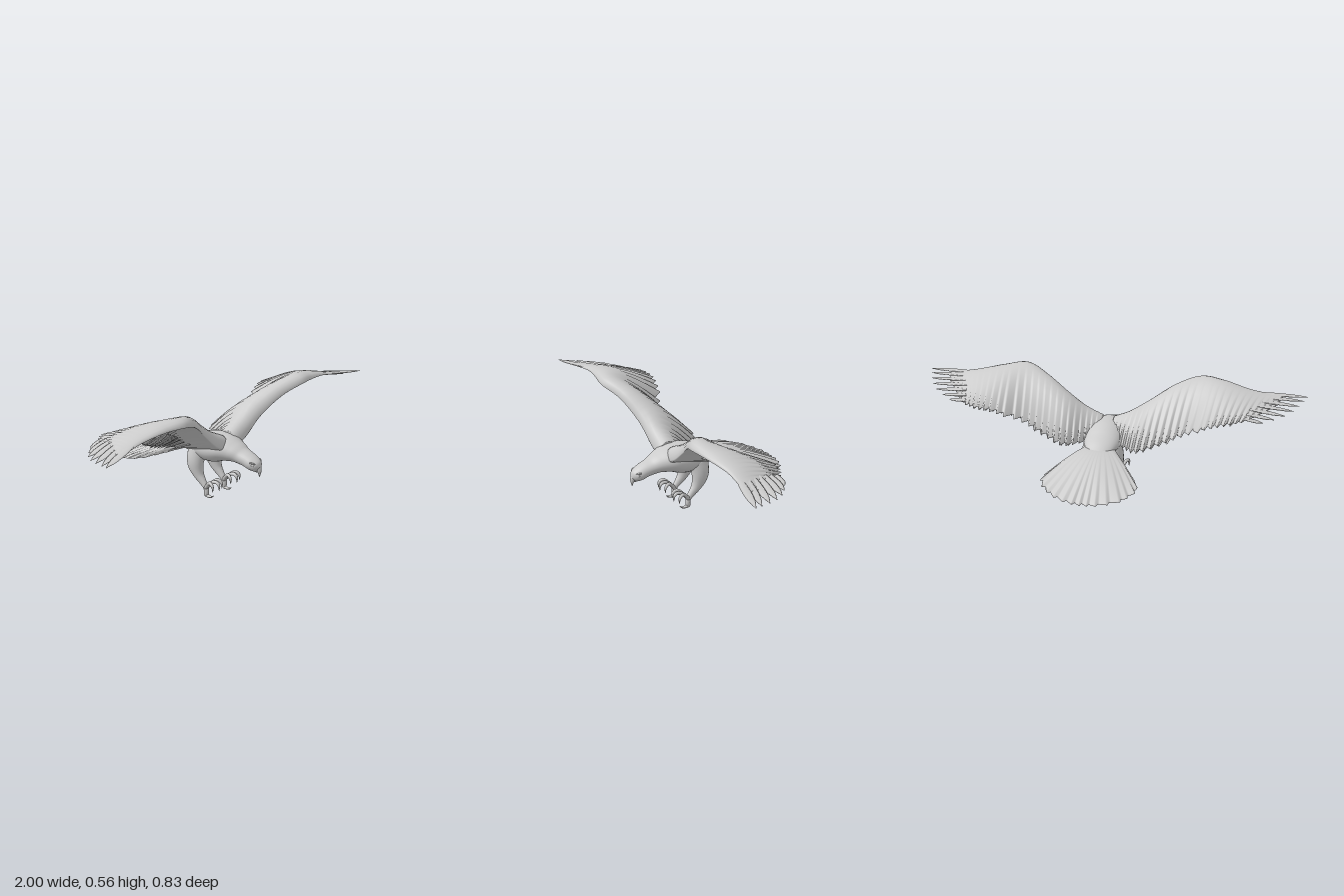
import * as THREE from 'three';

const material = new THREE.MeshStandardMaterial({ color: 0xcccccc, side: THREE.DoubleSide });
const V = (x, y, z) => new THREE.Vector3(x, y, z);
const curve = (pts) => new THREE.CatmullRomCurve3(pts.map((p) => V(...p)), false, 'catmullrom', 0.5);

// Closed skin over a row of rings, both ends capped, always facing outwards
function loft(name, rings) {
  const n = rings[0].length, last = rings.length - 1;
  const pts = rings.flat(), idx = [];
  for (let i = 0; i < last; i++) {
    for (let j = 0; j < n; j++) {
      const a = i * n + j, b = i * n + (j + 1) % n;
      idx.push(a, b, a + n, b, b + n, a + n);
    }
  }
  for (const end of [0, last]) {
    const c = pts.length;
    pts.push(rings[end].reduce((s, p) => s.add(p), V(0, 0, 0)).divideScalar(n));
    for (let j = 0; j < n; j++) {
      const a = end * n + j, b = end * n + (j + 1) % n;
      end === 0 ? idx.push(c, b, a) : idx.push(c, a, b);
    }
  }
  let volume = 0;
  for (let i = 0; i < idx.length; i += 3) {
    volume += pts[idx[i]].dot(pts[idx[i + 1]].clone().cross(pts[idx[i + 2]]));
  }
  if (volume < 0) idx.reverse();
  const g = new THREE.BufferGeometry().setFromPoints(pts);
  g.setIndex(idx);
  g.computeVertexNormals();
  const mesh = new THREE.Mesh(g, material);
  mesh.name = name;
  return mesh;
}

// Elliptical sweep: each section is [x, y, z, halfWidth, halfHeight]
function sweep(name, sections, side = V(1, 0, 0), steps = 24, sides = 16) {
  const path = curve(sections.map((s) => s.slice(0, 3)));
  const size = curve(sections.map((s) => [s[3], s[4], 0]));
  const rings = [];
  for (let i = 0; i <= steps; i++) {
    const t = i / steps, c = path.getPoint(t), r = size.getPoint(t);
    const up = path.getTangent(t).cross(side).normalize();
    rings.push(Array.from({ length: sides }, (_, j) => {
      const a = (j / sides) * Math.PI * 2;
      return c.clone().addScaledVector(side, Math.cos(a) * Math.max(r.x, 0.0008))
        .addScaledVector(up, Math.sin(a) * Math.max(r.y, 0.0008));
    }));
  }
  return loft(name, rings);
}

// Point on a feathered sheet between a front and a rear curve (v = 0 front, 1 rear)
function sheetPoint(s, t, v, face) {
  const k = t * s.feathers, saw = k - Math.floor(k);
  const notch = s.ragged * (saw - 0.5) * v * v;
  const p = s.front.getPoint(t).lerp(s.rear.getPoint(t), v + notch);
  const shape = s.shape.getPoint(t);
  const profile = 2.6 * Math.sqrt(v) * (1 - v);
  p.y += face * (shape.x * 0.5 * profile + 0.0015) + shape.y * Math.sin(Math.PI * Math.pow(v, 0.65));
  p.y += 0.008 * (saw - 0.5) * v * v;
  return p;
}

function sheet(name, s, steps, chord = 14) {
  const rings = [];
  for (let i = 0; i <= steps; i++) {
    const ring = [];
    for (let j = 0; j < chord * 2; j++) {
      const a = (j / chord) * Math.PI;
      const v = Math.max(0, (1 - Math.cos(a)) / 2);
      ring.push(sheetPoint(s, i / steps, v, j === 0 || j === chord ? 0 : a < Math.PI ? 1 : -1));
    }
    rings.push(ring);
  }
  return loft(name, rings);
}

// Flat tapering feather from base to tip
function feather(name, base, tip, width) {
  const side = tip.clone().sub(base).cross(V(0, 1, 0)).normalize();
  const at = (t, w, h) => [...base.clone().lerp(tip, t).toArray(), w * width, h];
  return sweep(name, [at(0, 0.7, 0.004), at(0.4, 1, 0.004), at(0.75, 0.8, 0.003), at(1, 0.08, 0.001)], side, 10, 8);
}

function wing(name, m, yFront, yRear, tipY) {
  const g = new THREE.Group();
  g.name = name;
  const fx = [0.03, 0.12, 0.22, 0.34, 0.46, 0.58, 0.7, 0.8, 0.88];
  const fz = [0.24, 0.24, 0.25, 0.29, 0.335, 0.315, 0.29, 0.29, 0.3];
  const rx = [0.03, 0.1, 0.19, 0.3, 0.42, 0.55, 0.65, 0.74, 0.86];
  const rz = [0.06, 0.03, -0.045, -0.01, 0.02, -0.025, -0.02, 0.04, 0.21];
  const thick = [0.09, 0.09, 0.08, 0.065, 0.05, 0.035, 0.022, 0.015, 0.01];
  const camber = [0.03, 0.04, 0.05, 0.05, 0.05, 0.035, 0.022, 0.012, 0.006];
  const s = {
    front: curve(fx.map((x, i) => [m * x, yFront[i], fz[i]])),
    rear: curve(rx.map((x, i) => [m * x, yRear[i], rz[i]])),
    shape: curve(thick.map((t, i) => [t, camber[i], 0])),
    feathers: 26, ragged: 0.13,
  };
  g.add(sheet('wingSurface', s, 156));
  // Spread primaries at the wing tip
  const tips = [[1, 0.325], [0.985, 0.285], [0.968, 0.232], [0.945, 0.18], [0.908, 0.128], [0.86, 0.085], [0.81, 0.05]];
  tips.forEach(([x, z], i) => {
    const base = sheetPoint(s, 0.83, 0.08 + i * 0.135, 0);
    g.add(feather('primaryFeather', base, V(m * x, tipY - i * 0.006, z), 0.021));
  });
  // Overlapping covert layer under the secondaries
  for (let i = 0; i < 14; i++) {
    const t = 0.2 + i * 0.042;
    const base = sheetPoint(s, t, 0.55, -1), tip = sheetPoint(s, t + 0.012, 0.97, -1);
    tip.y -= 0.012;
    g.add(feather('secondaryFeather', base, tip, 0.02));
  }
  return g;
}

function leg(name, m) {
  const g = new THREE.Group();
  g.name = name;
  const x = m * 0.072;
  g.add(sweep('thighAndShank', [
    [m * 0.06, 0.26, 0.07, 0.035, 0.05], [m * 0.066, 0.2, 0.06, 0.042, 0.048],
    [x, 0.155, 0.064, 0.036, 0.042], [x, 0.11, 0.084, 0.026, 0.027],
    [x, 0.08, 0.108, 0.018, 0.019], [x, 0.055, 0.128, 0.014, 0.014],
    [x, 0.03, 0.134, 0.013, 0.012], [x, 0.012, 0.134, 0.01, 0.009]]));
  // Three front toes with hooked talons
  for (const k of [-1, 0, 1]) {
    const o = (d) => x + k * d, reach = k === 0 ? 0.006 : -0.006;
    g.add(sweep('frontToe', [
      [o(0.004), 0.05, 0.13, 0.01, 0.01], [o(0.018), 0.082, 0.158, 0.009, 0.009],
      [o(0.03), 0.096, 0.186 + reach, 0.009, 0.009], [o(0.036), 0.083, 0.206 + reach, 0.007, 0.007],
      [o(0.036), 0.055, 0.208 + reach, 0.001, 0.001]], V(1, 0, 0), 20, 10));
  }
  g.add(sweep('hindToe', [
    [x, 0.04, 0.133, 0.01, 0.01], [x, 0.016, 0.13, 0.011, 0.011],
    [x, 0.009, 0.145, 0.009, 0.008], [x, 0.009, 0.164, 0.006, 0.005],
    [x, 0.019, 0.18, 0.001, 0.001]], V(1, 0, 0), 20, 10));
  return g;
}

export function createModel() {
  const model = new THREE.Group();
  model.name = 'eagle';

  // Body from face to tail root: [z, top, bottom, halfWidth]
  const body = [[0.41, 0.215, 0.19, 0.012], [0.395, 0.237, 0.18, 0.032], [0.37, 0.255, 0.184, 0.044],
    [0.34, 0.27, 0.195, 0.048], [0.3, 0.285, 0.203, 0.056], [0.26, 0.307, 0.205, 0.074],
    [0.2, 0.33, 0.197, 0.098], [0.13, 0.332, 0.178, 0.103], [0.06, 0.315, 0.185, 0.096],
    [0, 0.29, 0.208, 0.08], [-0.06, 0.26, 0.203, 0.058], [-0.14, 0.235, 0.182, 0.035], [-0.23, 0.2, 0.175, 0.008]];
  model.add(sweep('body', body.map(([z, t, b, w]) => [0, (t + b) / 2, z, w, (t - b) / 2]), V(1, 0, 0), 72, 32));

  // Hooked beak, eyes and brows
  model.add(sweep('beak', [[0, 0.208, 0.388, 0.022, 0.02], [0, 0.205, 0.401, 0.016, 0.015],
    [0, 0.187, 0.408, 0.011, 0.01], [0, 0.158, 0.409, 0.001, 0.001]]));
  model.add(sweep('lowerBeak', [[0, 0.192, 0.375, 0.018, 0.01], [0, 0.185, 0.39, 0.012, 0.006], [0, 0.18, 0.4, 0.002, 0.002]]));
  for (const m of [1, -1]) {
    const eye = new THREE.Mesh(new THREE.SphereGeometry(0.008, 16, 12), material);
    eye.name = 'eye';
    eye.position.set(m * 0.031, 0.221, 0.388);
    model.add(eye);
    model.add(sweep('brow', [[m * 0.025, 0.228, 0.4, 0.003, 0.002], [m * 0.034, 0.233, 0.386, 0.007, 0.004],
      [m * 0.038, 0.235, 0.368, 0.003, 0.002]], V(1, 0, 0), 10, 8));
  }

  // Wings, the right one raised a little higher
  model.add(wing('leftWing', 1,
    [0.27, 0.31, 0.385, 0.465, 0.51, 0.503, 0.485, 0.465, 0.452],
    [0.24, 0.25, 0.265, 0.3, 0.345, 0.4, 0.41, 0.408, 0.44], 0.444));
  model.add(wing('rightWing', -1,
    [0.27, 0.31, 0.39, 0.48, 0.525, 0.53, 0.515, 0.502, 0.493],
    [0.24, 0.25, 0.265, 0.305, 0.355, 0.43, 0.46, 0.466, 0.482], 0.488));

  // Fanned tail
  const half = [[0.1, 0.222, -0.05], [0.155, 0.2, -0.11], [0.215, 0.178, -0.18], [0.242, 0.165, -0.25],
    [0.205, 0.15, -0.315], [0.14, 0.142, -0.37], [0.06, 0.137, -0.402]];
  const rim = [...half, [0, 0.135, -0.405], ...half.map(([x, y, z]) => [-x, y, z]).reverse()];
  model.add(sheet('tail', {
    front: curve(rim.map(([x], i) => [0.075 * (1 - i / 7), 0.24, 0.01 - 0.02 * Math.sin(i / 14 * Math.PI)])),
    rear: curve(rim),
    shape: curve(rim.map((_, i) => [0.008 + 0.03 * Math.sin(i / 14 * Math.PI), 0.004 + 0.02 * Math.sin(i / 14 * Math.PI), 0])),
    feathers: 22, ragged: 0.07,
  }, 132));

  model.add(leg('leftLeg', 1), leg('rightLeg', -1));

  // Stand on the ground, centred
  const box = new THREE.Box3().setFromObject(model), c = box.getCenter(V(0, 0, 0));
  model.position.set(-c.x, -box.min.y, -c.z);
  return model;
}
